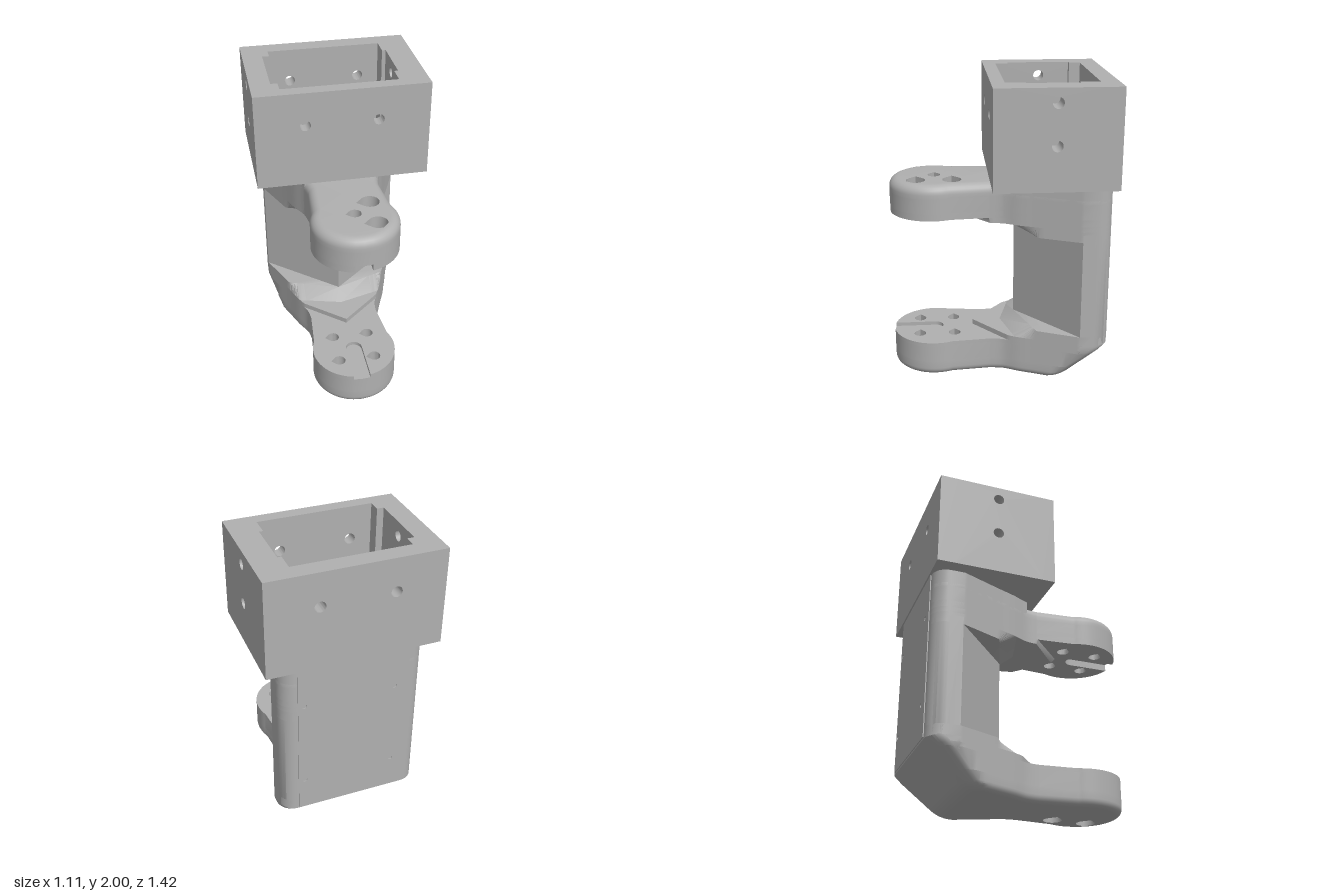
import * as THREE from 'three';
import { toCreasedNormals } from 'three/addons/utils/BufferGeometryUtils.js';

const grey = new THREE.MeshStandardMaterial({ color: 0xb0b0b0 });
grey.name = 'plain grey';

// Plan curve where the arm neck flares into the body (x, z)
const flare = new THREE.SplineCurve(
  [[0.236, 0.07], [0.25, -0.02], [0.3, -0.12], [0.345, -0.23], [0.405, -0.37], [0.465, -0.51]]
    .map(([x, z]) => new THREE.Vector2(x, z))
).getPoints(24);

const SLOT = 0.055, DISC = 0.28, DISC_Z = 0.43;

// Front ends of the half plan: rounded arm (optionally slotted) or a V nose
function armFront(slotted) {
  const pts = [];
  if (slotted) {
    for (let i = 0; i <= 8; i++) {
      const a = (i / 8) * Math.PI / 2;
      pts.push([SLOT * Math.sin(a), DISC_Z - SLOT * Math.cos(a)]);
    }
  } else pts.push([0, DISC_Z + DISC]);
  const t0 = Math.asin(SLOT / DISC), t1 = 1.975;
  for (let i = 0; i <= 24; i++) {
    const t = t0 + (t1 - t0) * i / 24;
    pts.push([DISC * Math.sin(t), DISC_Z + DISC * Math.cos(t)]);
  }
  return pts;
}
const arm = { front: armFront(false) };
const slottedArm = { front: armFront(true) };
const nose = (apex, slope) => ({ front: [[0, apex]], apex, slope });

// Closed plan loop at height y; the base tapers at the sides and back
function ring(y, kind, inset = 0) {
  const w = 0.375 + 0.09 * Math.min(1, y / 0.23);
  const back = -0.42 - 0.28 * Math.min(1, y / 0.27);
  const r = 0.1;
  const half = kind.front.map(p => [...p]);
  for (const p of flare) {
    const x = Math.min(p.x, w);
    const z = kind.apex === undefined ? p.y : Math.min(p.y, kind.apex - kind.slope * x);
    half.push([x, Math.max(z, back + r)]);
  }
  for (let i = 0; i <= 8; i++) {
    const a = (i / 8) * Math.PI / 2;
    half.push([w - r + r * Math.cos(a), back + r - r * Math.sin(a)]);
  }
  const left = half.filter(p => p[0] > 1e-6).map(([x, z]) => [-x, z]).reverse();
  const pts = [...half, ...left], n = pts.length;
  const neighbour = (i, step) => {
    let j = i;
    do j = (j + step + n) % n;
    while (Math.hypot(pts[j][0] - pts[i][0], pts[j][1] - pts[i][1]) < 1e-5);
    return pts[j];
  };
  return pts.map((p, i) => {
    if (!inset) return [p[0], y, p[1]];
    const a = neighbour(i, -1), b = neighbour(i, 1);
    const dx = b[0] - a[0], dz = b[1] - a[1], l = Math.hypot(dx, dz);
    return [p[0] + inset * dz / l, y, p[1] - inset * dx / l];
  });
}

// Teardrop hole loop with its tip toward -x
function teardrop(cx, cz, r) {
  const pts = [[cx - r * Math.SQRT2, cz]];
  for (let i = 0; i <= 18; i++) {
    const a = (-0.75 + 1.5 * i / 18) * Math.PI;
    pts.push([cx + r * Math.cos(a), cz - r * Math.sin(a)]);
  }
  return pts;
}
const fourHoles = r => [-0.12, 0.12].flatMap(x => [0.3, 0.535].map(z => teardrop(x, z, r)));

// Lofted solid through plan loops, with vertical holes and flat caps
function solid(rings, holes = []) {
  const pos = [];
  const tri = (a, b, c) => pos.push(...a, ...b, ...c);
  const wall = (lo, hi, flip) => lo.forEach((a, i) => {
    const j = (i + 1) % lo.length;
    const [p, q] = flip ? [j, i] : [i, j];
    tri(lo[p], lo[q], hi[q]);
    tri(lo[p], hi[q], hi[p]);
  });
  for (let k = 0; k + 1 < rings.length; k++) wall(rings[k], rings[k + 1], false);
  const bottom = rings[0], top = rings[rings.length - 1];
  const at = (h, y) => h.map(([x, z]) => [x, y, z]);
  for (const h of holes) wall(at(h, bottom[0][1]), at(h, top[0][1]), true);
  for (const [loop, up] of [[bottom, false], [top, true]]) {
    const loops = [loop, ...holes.map(h => at(h, loop[0][1]))];
    const flat = loops.map(l => l.map(p => new THREE.Vector2(p[0], -p[2])));
    const all = loops.flat();
    for (const [a, b, c] of THREE.ShapeUtils.triangulateShape(flat[0], flat.slice(1))) {
      if (up) tri(all[a], all[b], all[c]);
      else tri(all[a], all[c], all[b]);
    }
  }
  const g = new THREE.BufferGeometry();
  g.setAttribute('position', new THREE.Float32BufferAttribute(pos, 3));
  return toCreasedNormals(g, 0.6);
}

// Rectangular plate with round holes, extruded along +z
function plate(x0, x1, y0, y1, depth, holes, r) {
  const s = new THREE.Shape([[x0, y0], [x1, y0], [x1, y1], [x0, y1]].map(p => new THREE.Vector2(...p)));
  for (const [x, y] of holes) s.holes.push(new THREE.Path().absarc(x, y, r, 0, Math.PI * 2, true));
  return toCreasedNormals(new THREE.ExtrudeGeometry(s, { depth, bevelEnabled: false, curveSegments: 16 }), 0.6);
}

export function createModel() {
  const model = new THREE.Group();
  const add = (name, geometry, parent = model) => {
    const m = new THREE.Mesh(geometry, grey);
    m.name = name;
    parent.add(m);
    return m;
  };
  const group = name => {
    const g = new THREE.Group();
    g.name = name;
    model.add(g);
    return g;
  };
  const steps = [0, 1, 2, 3, 4, 5, 6].map(i => (i / 6) * Math.PI / 2);

  // Lower arm and tapered base, rounded underneath
  const lower = group('lowerArm');
  const R1 = 0.05, R2 = 0.06;
  add('lowerArmCounterbores', solid(
    [...steps.map(a => ring(R1 * (1 - Math.cos(a)), arm, R1 * (1 - Math.sin(a)))), ring(0.1, arm)],
    fourHoles(0.062)), lower);
  add('lowerArmCore', solid([ring(0.1, arm), ring(0.215, arm)], fourHoles(0.04)), lower);
  add('lowerArmSlotLayer', solid([ring(0.215, slottedArm), ring(0.24, slottedArm)], fourHoles(0.04)), lower);
  add('lowerLedge', solid([ring(0.24, nose(0.17, 0.85)), ring(0.275, nose(0.17, 0.85))]), lower);
  add('lowerGusset', solid([ring(0.275, nose(-0.02, 0.27)), ring(0.34, nose(-0.115, 0.35))]), lower);

  // Wedge-fronted column
  add('column', solid([0.2, 0.23, 0.27, 1.05].map(y => ring(y, nose(-0.115, 0.85)))));
  const backPanel = add('backScrewPanel', plate(-0.36, 0.36, 0.28, 1.365, 0.008,
    [[0.32, 1.1], [-0.27, 1.1], [0.32, 0.51], [-0.27, 0.51]], 0.016));
  backPanel.position.z = -0.706;

  // Upper arm, rounded on top, facing the lower one
  const upper = group('upperArm');
  add('upperGusset', solid([ring(1.0, nose(-0.115, 0.35)), ring(1.07, nose(-0.02, 0.27))]), upper);
  add('upperLedge', solid([ring(1.07, nose(0.26, 0.85)), ring(1.105, nose(0.29, 0.85))]), upper);
  add('upperArmSlotLayer', solid([ring(1.105, slottedArm), ring(1.15, slottedArm)], fourHoles(0.04)), upper);
  add('upperArmCore', solid([ring(1.15, arm), ring(1.25, arm)], fourHoles(0.04)), upper);
  add('upperArmCounterbores', solid(
    [ring(1.25, arm), ...steps.map(a => ring(1.335 - R2 + R2 * Math.sin(a), arm, R2 * (1 - Math.cos(a))))],
    [...fourHoles(0.062), teardrop(0, 0.415, 0.042)]), upper);
  add('boxSupport', solid([ring(1.105, nose(-0.01, 0)), ring(1.366, nose(-0.01, 0))]), upper);

  // Open-topped box with drilled walls
  const box = group('topBox');
  const Y0 = 1.365, Y1 = 2;
  const pair = [[-0.24, 1.78], [0.225, 1.78]];
  add('frontWall', plate(-0.555, 0.555, Y0, Y1, 0.085, pair, 0.035), box).position.z = -0.02;
  add('backWall', plate(-0.555, 0.555, Y0, Y1, 0.115, pair, 0.035), box).position.z = -0.715;
  const sideHoles = [[0.32, 1.91], [0.32, 1.65]];
  const sideWall = (name, x, depth) => {
    const m = add(name, plate(0.02, 0.6, Y0, Y1, depth, sideHoles, 0.035), box);
    m.rotation.y = Math.PI / 2;
    m.position.x = x;
  };
  sideWall('leftWall', 0.39, 0.165);
  sideWall('rightWall', -0.555, 0.13);
  const block = (name, x0, x1, y0, y1, z0, z1) => add(name,
    new THREE.BoxGeometry(x1 - x0, y1 - y0, z1 - z0), box)
    .position.set((x0 + x1) / 2, (y0 + y1) / 2, (z0 + z1) / 2);
  block('boxFloor', -0.43, 0.395, Y0, 1.41, -0.6, -0.02);
  // Corner strips leave a shallow channel in each side wall
  block('leftFrontStrip', 0.365, 0.39, Y0, Y1, -0.145, -0.02);
  block('leftBackStrip', 0.365, 0.39, Y0, Y1, -0.6, -0.475);
  block('rightFrontStrip', -0.425, -0.38, Y0, Y1, -0.105, -0.02);
  block('rightBackStrip', -0.425, -0.38, Y0, Y1, -0.6, -0.525);

  return model;
}
